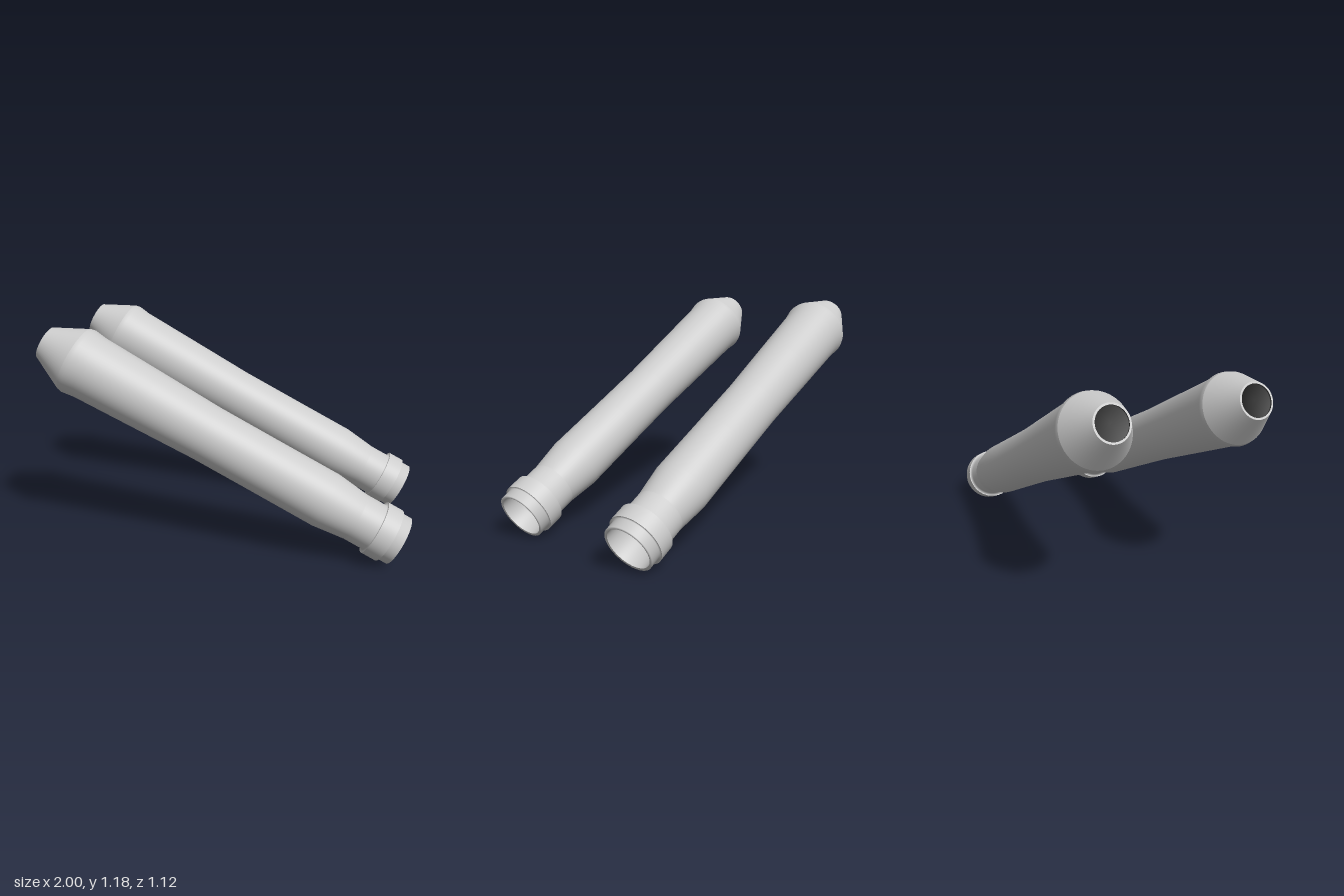
import * as THREE from 'three';

function flat(name, color) {
  const material = new THREE.MeshStandardMaterial({ color });
  material.name = name;
  return material;
}
const steel = flat('steel', 0xcccccc);
const black = flat('black', 0x050505);

// Turned part; each profile point is [radius, distance along the pipe].
// Rising profiles face outwards, falling ones face inwards.
function turned(name, profile, material) {
  const points = profile.map(([r, t]) => new THREE.Vector2(r, t));
  const mesh = new THREE.Mesh(new THREE.LatheGeometry(points, 64), material);
  mesh.name = name;
  return mesh;
}

function createPipe(name) {
  const pipe = new THREE.Group();
  pipe.name = name;
  pipe.add(
    // open socket end: softly shaded lip running into the collar's front face
    turned('lip', [[0.121, 0], [0.136, 0], [0.136, 0.057], [0.15, 0.057]], steel),
    turned('bore', [[0, 0.256], [0.118, 0.256], [0.121, 0]], steel),
    // raised collar band
    turned('collar', [[0.15, 0.057], [0.15, 0.144]], steel),
    // collar's back face, neck and its inner end, softly shaded together
    turned('neck', [[0.15, 0.144], [0.131, 0.144], [0.131, 0.256], [0.118, 0.256]], steel),
    // long body, swelling towards the tip
    turned('body', [[0.131, 0.256], [0.152, 0.435], [0.152, 0.8], [0.153, 1.15],
      [0.165, 1.5], [0.177, 1.86], [0.186, 1.925], [0.181, 1.95]], steel),
    // tapered tip with a dark opening
    turned('tip', [[0.181, 1.95], [0.091, 2.131]], steel),
    turned('tipRim', [[0.091, 2.131], [0.081, 2.131]], steel),
    turned('tipOpening', [[0.081, 2.131], [0.081, 2.12], [0, 2.12]], black),
  );
  // lean the pipe from the low socket up to the tip
  pipe.rotation.z = 1.096;
  return pipe;
}

export function createModel() {
  const model = new THREE.Group();
  model.name = 'exhaustPipes';
  for (const side of [1, -1]) {
    const pipe = createPipe(side > 0 ? 'frontPipe' : 'backPipe');
    pipe.position.set(0.9375, 0.122, side * 0.372);
    model.add(pipe);
  }
  return model;
}
